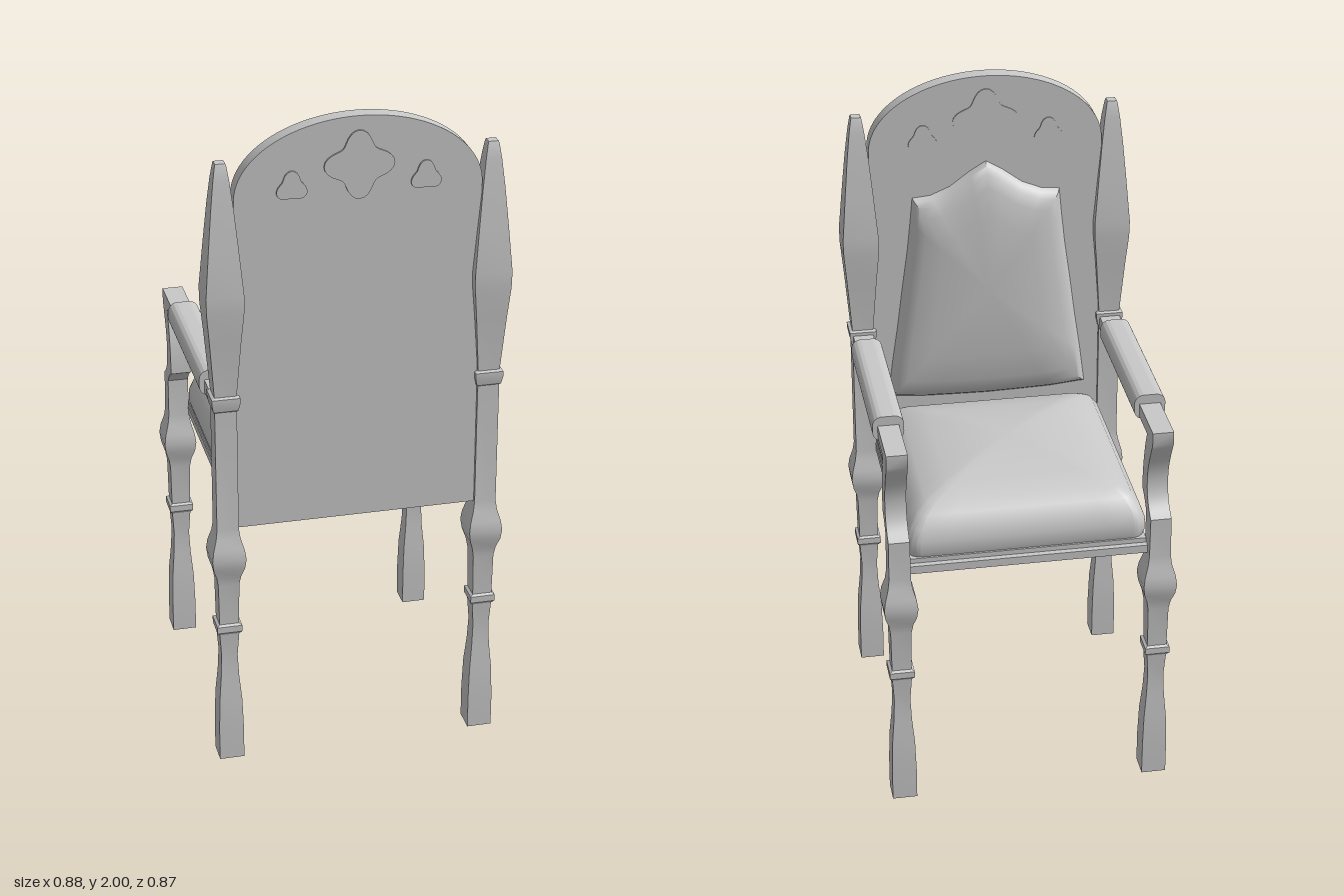
import * as THREE from 'three';
import { toCreasedNormals } from 'three/addons/utils/BufferGeometryUtils.js';

const grey = new THREE.MeshStandardMaterial({ color: 0xc8c8c8 });
grey.name = 'plain grey';

export function createModel() {
  const chair = new THREE.Group();
  chair.name = 'armchair';

  function add(name, geometry, x = 0, y = 0, z = 0) {
    const mesh = new THREE.Mesh(geometry, grey);
    mesh.name = name;
    mesh.position.set(x, y, z);
    chair.add(mesh);
    return mesh;
  }

  // Square turned post: [half width, height] pairs from the floor up, open underneath
  function squarePost(profile) {
    const points = profile.map(([h, y]) => new THREE.Vector2(h * Math.SQRT2, y));
    return toCreasedNormals(new THREE.LatheGeometry(points, 4, Math.PI / 4), 0.5);
  }

  // Domed cushion: an outline shrunk towards its centre, one ring per [scale, height] step
  function dome(outline, steps) {
    const n = outline.length, pos = [], index = [];
    for (const [s, h] of steps) for (const [u, v] of outline) pos.push(u * s, v * s, h);
    for (let r = 0; r < steps.length - 1; r++) {
      for (let i = 0; i < n; i++) {
        const j = (i + 1) % n, a = r * n + i, b = r * n + j;
        index.push(a, b, b + n);
        if (steps[r + 1][0] > 0) index.push(a, b + n, a + n);
        else index[index.length - 1] = a + n;
      }
    }
    const g = new THREE.BufferGeometry();
    g.setAttribute('position', new THREE.Float32BufferAttribute(pos, 3));
    g.setIndex(index);
    g.computeVertexNormals();
    return toCreasedNormals(g, 0.9);
  }

  function roundedRect(w, h, r) {
    const s = new THREE.Shape(), x = w / 2, y = h / 2;
    s.absarc(x - r, y - r, r, 0, Math.PI / 2);
    s.absarc(-x + r, y - r, r, Math.PI / 2, Math.PI);
    s.absarc(-x + r, -y + r, r, Math.PI, Math.PI * 1.5);
    s.absarc(x - r, -y + r, r, Math.PI * 1.5, Math.PI * 2);
    return s;
  }

  const extrude = (shape, depth, curveSegments = 8) => toCreasedNormals(
    new THREE.ExtrudeGeometry(shape, { depth, bevelEnabled: false, curveSegments }), 0.6);

  // Legs: flared foot, slim shaft, collar and bulging knop
  const leg = [
    [0.037, 0], [0.037, 0.1], [0.034, 0.2], [0.027, 0.28], [0.024, 0.35], [0.029, 0.425],
    [0.037, 0.435], [0.037, 0.455], [0.029, 0.46], [0.031, 0.59], [0.036, 0.62],
    [0.046, 0.65], [0.05, 0.68], [0.046, 0.71], [0.036, 0.745], [0.032, 0.775],
  ];
  const backPost = squarePost([
    ...leg, [0.032, 1.15], [0.032, 1.2], [0.045, 1.37], [0.053, 1.46], [0.054, 1.51],
    [0.042, 1.65], [0.032, 1.76], [0.023, 1.84], [0.016, 1.885], [0.014, 1.89], [0, 1.89],
  ]);
  const frontLeg = squarePost([...leg, [0.031, 0.9], [0, 0.9]]);
  const collar = squarePost([
    [0.03, 1.15], [0.036, 1.155], [0.041, 1.18], [0.041, 1.195], [0.03, 1.2],
  ]);

  // Arm and its curved support drawn from the side (z, y)
  const armShape = new THREE.Shape();
  armShape.moveTo(0.36, 1.185);
  armShape.lineTo(-0.41, 1.185);
  armShape.lineTo(-0.41, 1.145);
  armShape.bezierCurveTo(-0.38, 1.09, -0.35, 1.04, -0.357, 0.985);
  armShape.quadraticCurveTo(-0.362, 0.93, -0.415, 0.9);
  armShape.lineTo(-0.415, 0.87);
  armShape.lineTo(-0.354, 0.87);
  armShape.lineTo(-0.354, 0.895);
  armShape.quadraticCurveTo(-0.33, 0.93, -0.295, 0.945);
  armShape.bezierCurveTo(-0.295, 1.02, -0.31, 1.09, -0.336, 1.145);
  armShape.lineTo(0.36, 1.145);
  const arm = extrude(armShape, 0.062);
  arm.rotateY(-Math.PI / 2);
  const pad = extrude(roundedRect(0.092, 0.078, 0.028), 0.493);

  for (const side of [-1, 1]) {
    const label = side > 0 ? 'left' : 'right';
    const x = side * 0.385;
    add(label + 'BackPost', backPost, x, 0, 0.385);
    add(label + 'PostCollar', collar, x, 0, 0.385);
    add(label + 'FrontLeg', frontLeg, x, 0, -0.385);
    add(label + 'Arm', arm, x + 0.031, 0, 0);
    add(label + 'ArmPad', pad, x, 1.175, -0.23);
  }

  // Seat rail with a thin step and the domed seat cushion
  add('seatRail', new THREE.BoxGeometry(0.71, 0.025, 0.77), 0, 0.7875, -0.005);
  add('seatStep', new THREE.BoxGeometry(0.704, 0.02, 0.75), 0, 0.805, 0.003);
  const seatOutline = roundedRect(0.71, 0.725, 0.04).getPoints(6).slice(0, -1)
    .map((p) => [p.x, p.y]);
  // extra points along the straight sides keep the dome smooth
  const denseOutline = seatOutline.flatMap(([x, y], i) => {
    const [x2, y2] = seatOutline[(i + 1) % seatOutline.length];
    const count = Math.max(1, Math.round(Math.hypot(x2 - x, y2 - y) / 0.08));
    return Array.from({ length: count }, (_, k) =>
      [x + (x2 - x) * k / count, y + (y2 - y) * k / count]);
  });
  const seat = dome(denseOutline, [
    [0.985, 0.812], [1, 0.83], [1, 0.865], [0.965, 0.9], [0.9, 0.935], [0.81, 0.957],
    [0.6, 0.977], [0.35, 0.992], [0.15, 0.998], [0, 0.999],
  ]);
  seat.rotateX(-Math.PI / 2);
  add('seatCushion', seat, 0, 0, -0.008);

  // Arched back panel
  const panel = new THREE.Shape();
  panel.moveTo(-0.352, 0.775);
  panel.lineTo(0.352, 0.775);
  panel.lineTo(0.352, 1.78);
  panel.absellipse(0, 1.78, 0.352, 0.22, 0, Math.PI, false);
  add('backPanel', extrude(panel, 0.048, 32), 0, 0, 0.361);

  // Carved flowers, slightly proud of the panel on both faces
  function flower(radius, petals, turn) {
    const points = [];
    for (let i = 0; i < 48; i++) {
      const a = i / 48 * Math.PI * 2;
      const r = radius * (0.83 + 0.17 * Math.cos(petals * (a - turn)));
      points.push(new THREE.Vector2(r * Math.cos(a), r * Math.sin(a)));
    }
    return extrude(new THREE.Shape(points), 0.058);
  }
  add('centreCarving', flower(0.1, 4, 0), 0, 1.86, 0.357);
  for (const side of [-1, 1]) {
    add('sideCarving', flower(0.047, 3, Math.PI / 2), side * 0.19, 1.81, 0.357);
  }

  // Padded back with a peaked top and flared lower corners
  const half = [
    [0, 1.73], [0.05, 1.70], [0.11, 1.655], [0.17, 1.63], [0.225, 1.625], [0.232, 1.55],
    [0.243, 1.45], [0.26, 1.33], [0.277, 1.2], [0.295, 1.08], [0.31, 0.96],
    [0.2, 0.95], [0.1, 0.947], [0, 0.945],
  ];
  const mirrored = half.slice(1, -1).reverse().map(([x, y]) => [-x, y]);
  const backOutline = [...half, ...mirrored].reverse().map(([x, y]) => [x, y - 1.33]);
  const backPad = dome(backOutline, [
    [1, 0], [0.97, 0.018], [0.92, 0.031], [0.82, 0.043], [0.6, 0.053], [0.3, 0.06], [0, 0.061],
  ]);
  backPad.rotateY(Math.PI);
  add('backCushion', backPad, 0, 1.33, 0.362);

  return chair;
}
